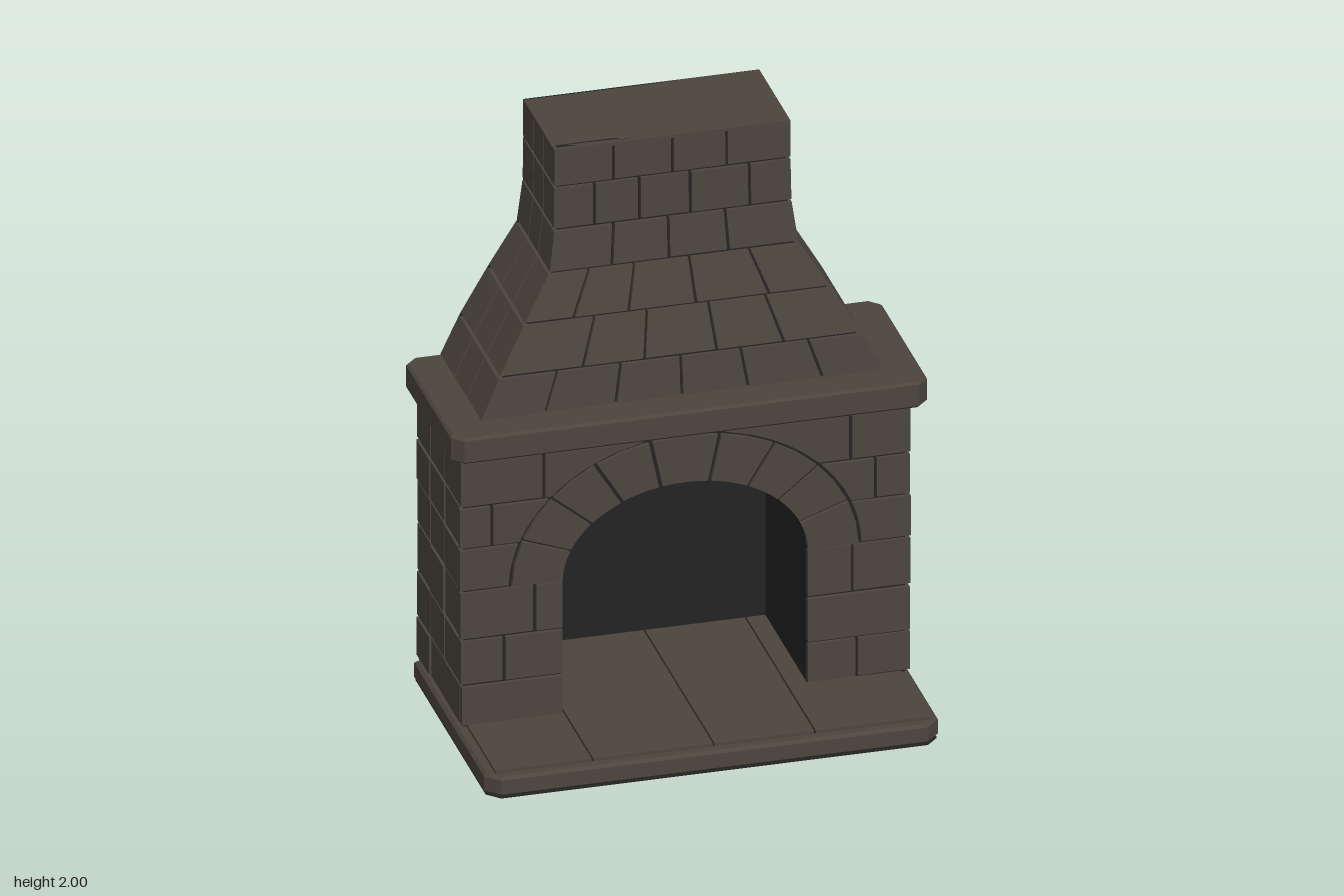
import * as THREE from 'three';

const BACK = -0.433, GAP = 0.005;
const stoneMat = new THREE.MeshStandardMaterial({ name: 'stone', color: 0x4b453d });
const darkMat = new THREE.MeshStandardMaterial({ name: 'soot and mortar', color: 0x232323, side: THREE.DoubleSide });

let seed = 7;
const jitter = (a) => {
  seed = (seed * 16807) % 2147483647;
  return (seed / 2147483647 - 0.5) * 2 * a;
};
const lerp = THREE.MathUtils.lerp;

function add(parent, name, geo, mat = stoneMat) {
  const m = new THREE.Mesh(geo, mat);
  m.name = name;
  parent.add(m);
}

function section(root, name) {
  const g = new THREE.Group();
  g.name = name;
  root.add(g);
  return g;
}

// Box whose corners are placed by map(u, v, w)
function block(u0, u1, v0, v1, w0, w1, map) {
  const geo = new THREE.BoxGeometry(1, 1, 1).toNonIndexed();
  const p = geo.attributes.position;
  for (let i = 0; i < p.count; i++) {
    const u = lerp(u0, u1, p.getX(i) + 0.5);
    const v = lerp(v0, v1, p.getY(i) + 0.5);
    const w = lerp(w0, w1, p.getZ(i) + 0.5);
    p.setXYZ(i, ...map(u, v, w));
  }
  geo.computeVertexNormals();
  return geo;
}

// Upright outline extruded from z0 to z1
function panel(pts, z0, z1) {
  const shape = new THREE.Shape(pts.map(([x, y]) => new THREE.Vector2(x, y)));
  return new THREE.ExtrudeGeometry(shape, { depth: z1 - z0, bevelEnabled: false }).translate(0, 0, z0);
}

// Horizontal slab with clipped corners and a fine bevelled edge
function slab(hx, zFront, front, back, y0, y1, b) {
  const pts = [[-hx + back, BACK], [-hx, BACK + back], [-hx, zFront - front], [-hx + front, zFront],
    [hx - front, zFront], [hx, zFront - front], [hx, BACK + back], [hx - back, BACK]];
  const shape = new THREE.Shape(pts.map(([x, z]) => new THREE.Vector2(x, -z)));
  return new THREE.ExtrudeGeometry(shape, {
    depth: y1 - y0 - 2 * b, bevelEnabled: b > 0, bevelThickness: b, bevelSize: b, bevelOffset: -b, bevelSegments: 1,
  }).rotateX(-Math.PI / 2).translate(0, y0 + b, 0);
}

const SPRING = 0.555;
const arc = (rx, ry, t) => [rx * Math.cos(t), SPRING + ry * Math.sin(t)];

export function createModel() {
  const root = new THREE.Group();
  root.name = 'fireplace';

  // Hearth: slab, mortar bed and paving
  const hearth = section(root, 'hearth');
  add(hearth, 'hearthUnderside', slab(0.735, 0.43, 0.04, 0, 0, 0.004, 0), darkMat);
  add(hearth, 'hearthSlab', slab(0.74, 0.432, 0.045, 0, 0.004, 0.073, 0.01), stoneMat);
  add(hearth, 'hearthMortar', slab(0.7, 0.395, 0.01, 0, 0.07, 0.081, 0), darkMat);
  const tileX = [-0.71, -0.39, 0.005, 0.335, 0.71];
  for (let i = 0; i < 4; i++) {
    add(hearth, 'hearthTile', block(tileX[i] + 0.003, tileX[i + 1] - 0.003, 0.076, 0.086, -0.42, 0.403, (u, v, w) => [u, v, w]));
  }

  // Firebox core with arched opening
  const body = section(root, 'firebox');
  const outline = [[-0.72, 0.082], [-0.72, 1.06], [0.72, 1.06], [0.72, 0.082], [0.4, 0.082]];
  for (let i = 0; i <= 36; i++) outline.push(arc(0.4, 0.297, Math.PI * i / 36));
  outline.push([-0.4, 0.082]);
  add(body, 'fireboxCore', panel(outline, -0.42, 0.072), darkMat);
  add(body, 'fireboxBack', panel([[-0.725, 0.075], [0.725, 0.075], [0.725, 1.06], [-0.725, 1.06]], BACK, -0.415), darkMat);

  // Front courses, fitted to the arch on both sides
  const rows = [0.088, 0.23, 0.39, 0.56, 0.71, 0.855, 1.015, 1.055];
  const joints = { '-1': [[], [0.59], [0.49], [], [0.63], [0.46]], 1: [[0.56], [], [0.545], [], [0.62], [0.54]] };
  const archEdge = (y) => 0.575 * Math.sqrt(Math.max(0, 1 - ((y - SPRING) / 0.468) ** 2));
  for (const s of [-1, 1]) {
    for (let r = 0; r < 6; r++) {
      const y0 = rows[r] + GAP, y1 = rows[r + 1] - GAP;
      const cuts = [0.732 + jitter(0.004), ...joints[s][r]];
      cuts.forEach((c, i) => {
        const outer = i ? c - GAP : c;
        const pts = [[s * outer, y0], [s * outer, y1]];
        if (i + 1 < cuts.length) {
          const x = cuts[i + 1] + GAP;
          pts.push([s * x, y1], [s * x, y0]);
        } else {
          for (let k = 0; k <= 6; k++) {
            const y = lerp(y1, y0, k / 6);
            pts.push([s * Math.min(outer - 0.01, r < 3 ? 0.4 : archEdge(y)), y]);
          }
        }
        add(body, 'frontStone', panel(pts, 0.062, 0.084 + jitter(0.003)));
      });
    }
  }
  const topCuts = [-0.732, -0.52, -0.17, 0.04, 0.2, 0.54, 0.732];
  for (let i = 0; i < 6; i++) {
    add(body, 'frontStone', block(topCuts[i] + GAP, topCuts[i + 1] - GAP, rows[6] + GAP, rows[7], 0.062, 0.084, (u, v, w) => [u, v, w]));
  }

  // Wedge stones round the arch
  const wedge = [0, 0.36, 0.7, 1.03, 1.37, 1.77, 2.11, 2.44, 2.78, Math.PI];
  for (let i = 0; i < 9; i++) {
    const pts = [];
    for (let k = 0; k <= 4; k++) pts.push(arc(0.4, 0.297, lerp(wedge[i] + 0.015, wedge[i + 1] - 0.015, k / 4)));
    for (let k = 2; k >= 0; k--) pts.push(arc(0.565, 0.458, lerp(wedge[i] + 0.011, wedge[i + 1] - 0.011, k / 2)));
    add(body, 'archStone', panel(pts, 0.062, 0.086 + jitter(0.002)));
  }

  // Side courses, three stones deep
  const sideZ = [-0.431, -0.275, -0.11, 0.062];
  for (const s of [-1, 1]) {
    for (let r = 0; r < 7; r++) {
      for (let i = 0; i < 3; i++) {
        const z0 = sideZ[i] + (i ? GAP : 0), z1 = sideZ[i + 1] - (i < 2 ? GAP : 0);
        const [a, b] = s > 0 ? [z1, z0] : [z0, z1];
        add(body, 'sideStone', block(a, b, rows[r] + GAP, rows[r + 1] - GAP, 0.7, 0.731 + jitter(0.003),
          (u, v, w) => [s * w, v, u]));
      }
    }
  }

  // Mantel shelf
  add(root, 'mantel', slab(0.776, 0.163, 0.035, 0.035, 1.05, 1.14, 0.008));

  // Tapered hood: half width and front depth at each course
  const hood = section(root, 'hood');
  const prof = [[1.14, 0.655, 0.048], [1.273, 0.592, 0.034], [1.43, 0.5, -0.004], [1.578, 0.406, -0.046],
    [1.72, 0.387, -0.06], [1.868, 0.385, -0.065], [2, 0.385, -0.066]];
  const cuts = [[-0.68, -0.33, 0, 0.33, 0.7], [-0.54, -0.2, 0.2, 0.57], [-0.68, -0.32, 0.12, 0.6],
    [-0.5, -0.04, 0.44], [-0.66, -0.28, 0.15, 0.65], [-0.5, 0, 0.46]];
  const T = 0.022;
  for (let r = 0; r < 6; r++) {
    const [ya, ha, fa] = prof[r], [yb, hb, fb] = prof[r + 1];
    const half = (y) => lerp(ha, hb, (y - ya) / (yb - ya));
    const front = (y) => lerp(fa, fb, (y - ya) / (yb - ya));
    const y0 = ya + (r ? GAP : 0), y1 = yb - GAP;
    const frontMap = (u, y, w) => [u * half(y), y, front(y) + w];
    add(hood, 'hoodMortar', block(-0.97, 0.97, ya, yb, -0.03, -0.012, frontMap), darkMat);
    const us = [-1, ...cuts[r], 1], g = GAP / ha;
    for (let i = 0; i + 1 < us.length; i++) {
      const u0 = us[i] + (i ? g : 0), u1 = us[i + 1] - (i + 2 < us.length ? g : 0);
      add(hood, 'hoodFrontStone', block(u0, u1, y0, y1, -T, jitter(0.002), frontMap));
    }
    for (const s of [-1, 1]) {
      const sideMap = (u, y, w) => [s * (half(y) + w), y, lerp(BACK + 0.002, front(y) - T, u)];
      const zs = [0, 0.36, 0.69, 1];
      for (let i = 0; i < 3; i++) {
        const u0 = zs[i] + (i ? 0.007 : 0), u1 = zs[i + 1] - (i < 2 ? 0.007 : 0);
        const [a, b] = s > 0 ? [u1, u0] : [u0, u1];
        add(hood, 'hoodSideStone', block(a, b, y0, y1, -T, 0, sideMap));
      }
    }
  }

  // Hood back and flat top
  const backPts = [...prof.map(([y, h]) => [h - 0.002, y]), ...prof.map(([y, h]) => [0.002 - h, y]).reverse()];
  add(hood, 'hoodBack', panel(backPts, BACK, BACK + 0.01), darkMat);
  add(hood, 'hoodTop', block(-0.385, 0.385, 1.99, 2, BACK + 0.001, -0.066, (u, v, w) => [u, v, w]));

  return root;
}
